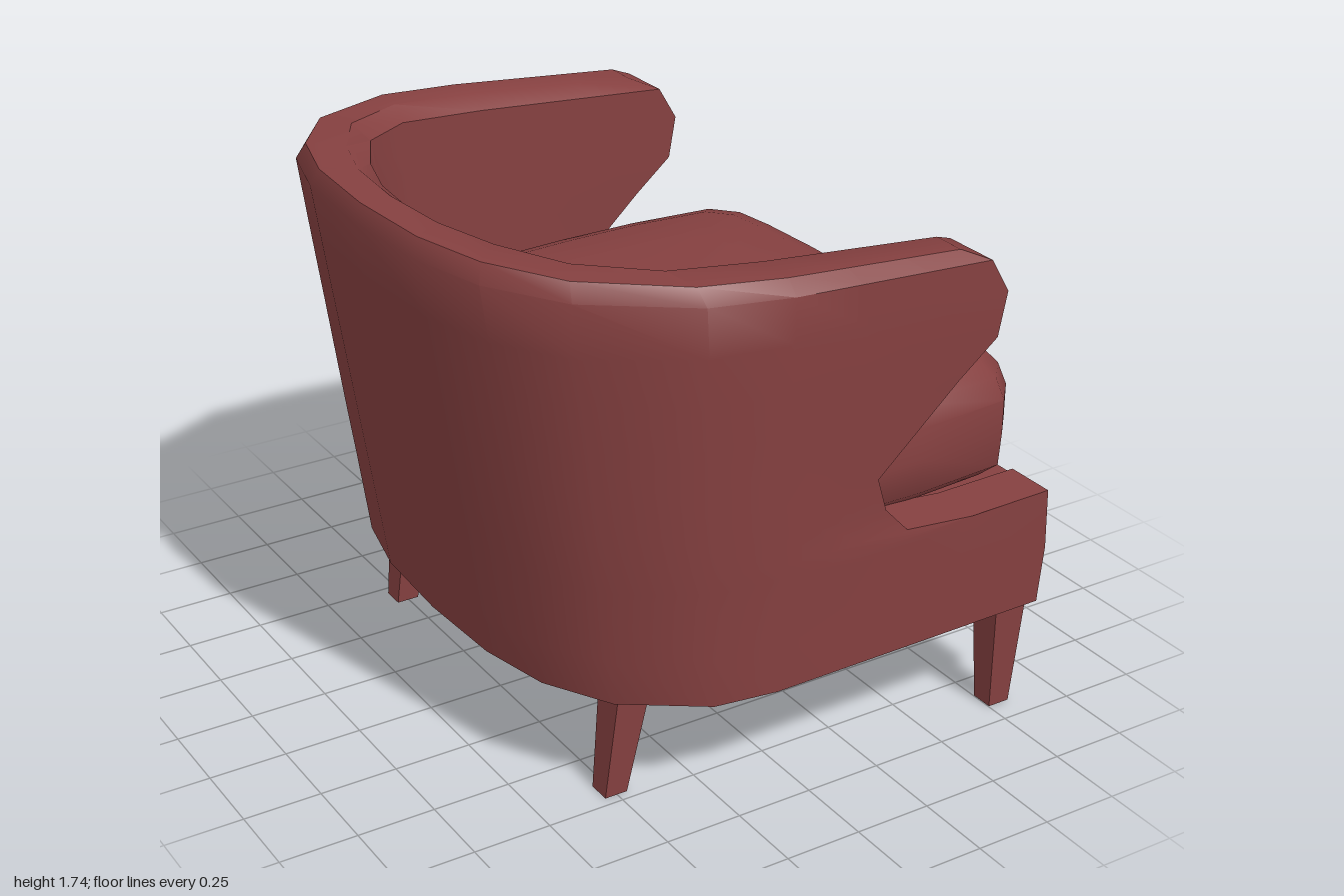
import * as THREE from 'three';
import { toCreasedNormals } from 'three/addons/utils/BufferGeometryUtils.js';

const lerp = THREE.MathUtils.lerp;

// Skins a list of rings (arrays of [x, y, z]); extra quads are index lists
function loft(rings, { wrapRings = false, wrapPoints = false, quads = [], crease = 0.7 } = {}) {
  const R = rings.length, N = rings[0].length, index = [];
  const quad = (a, b, c, d) => index.push(a, b, c, a, c, d);
  for (let i = 0; i < (wrapRings ? R : R - 1); i++) {
    for (let j = 0; j < (wrapPoints ? N : N - 1); j++) {
      const i2 = (i + 1) % R, j2 = (j + 1) % N;
      quad(i * N + j, i2 * N + j, i2 * N + j2, i * N + j2);
    }
  }
  quads.forEach(q => quad(...q));
  const g = new THREE.BufferGeometry();
  g.setAttribute('position', new THREE.Float32BufferAttribute(rings.flat(2), 3));
  g.setIndex(index);
  return toCreasedNormals(g.toNonIndexed(), crease);
}

// Mirrors a half outline of [x, z] points that ends on z = 0
const mirrorHalf = half => [...half, ...half.slice(0, -1).reverse().map(([x, z]) => [x, -z])];

// Wraparound back and arms, notched at the front of each arm
function shellGeometry() {
  // front x, front y, back y, inner back x
  const rows = [
    [0.885, 0.36, 0.36, -0.52], [0.90, 0.55, 0.5, -0.54], [0.89, 0.75, 0.65, -0.56],
    [0.60, 0.745, 0.74, -0.57], [0.35, 0.77, 0.81, -0.58], [0.265, 0.86, 0.9, -0.60],
    [0.23, 0.97, 1.0, -0.61], [0.50, 1.22, 1.2, -0.64], [0.63, 1.33, 1.35, -0.68],
    [0.655, 1.47, 1.5, -0.71], [0.59, 1.58, 1.68, -0.75], [0.50, 1.62, 1.735, -0.77],
  ];
  const outerBack = [[-0.1, 1], [-0.37, 0.97], [-0.69, 0.8], [-0.85, 0.58], [-0.92, 0.33], [-0.94, 0]];
  const innerBack = [[-0.1, 0.78], [-0.4, 0.75], [-0.58, 0.62], [-0.68, 0.42], [-0.74, 0.22], [-0.76, 0]];
  const path = (back, fx, bx, frontZ, zScale) => {
    const end = back[back.length - 1][0];
    const arm = [0, 1 / 3, 2 / 3].map(t => [lerp(fx, -0.1, t), lerp(frontZ, back[0][1], t) * zScale]);
    const bend = back.map(([x, z]) => [-0.1 + (x + 0.1) * (bx + 0.1) / (end + 0.1), z * zScale]);
    return mirrorHalf([...arm, ...bend]);
  };
  // w runs from the outer face (0) to the inner face (1)
  const ring = ([fx, fy, by, innerX], w) => {
    const outerX = -0.73 - (by - 0.36) * 0.153;
    const outer = path(outerBack, fx, outerX, 0.985, lerp(0.965, 1, Math.min(1, (by - 0.36) / 1.1)));
    const inner = path(innerBack, fx, innerX, 0.79, 1);
    const bx = lerp(outerX, innerX, w);
    return outer.map((o, j) => {
      const x = lerp(o[0], inner[j][0], w), z = lerp(o[1], inner[j][1], w);
      return [x, lerp(fy, by, (fx - x) / (fx - bx)), z];
    });
  };
  const last = rows.length - 1;
  const outer = rows.map((r, i) => ring(r, i === last ? 0.18 : 0));
  const inner = rows.map((r, i) => ring(r, i === last ? 0.75 : 1));
  const rings = [...outer, ...inner.reverse()];
  // Front faces of both arms
  const N = rings[0].length, quads = [];
  for (let i = 0; i < last; i++) {
    const o = i * N, o2 = o + N, n = (rings.length - 1 - i) * N, n2 = n - N, e = N - 1;
    quads.push([o, n, n2, o2], [o + e, o2 + e, n2 + e, n + e]);
  }
  return loft(rings, { wrapRings: true, quads });
}

// Crowned seat cushion: one outline scaled through its levels
function cushionGeometry() {
  const half = [[0.93, 0], [0.93, 0.3], [0.92, 0.56], [0.90, 0.72], [0.82, 0.81], [0.5, 0.835],
    [0.2, 0.83], [-0.35, 0.79], [-0.55, 0.6], [-0.62, 0.3], [-0.64, 0]];
  const outline = mirrorHalf(half).slice(0, -1);
  // y, inset
  const levels = [[0.745, 0.8], [0.745, 0.05], [0.79, 0.005], [0.9, 0], [1.01, 0], [1.08, 0.022],
    [1.125, 0.06], [1.155, 0.14], [1.175, 0.35], [1.185, 0.8]];
  const rings = levels.map(([y, inset]) =>
    outline.map(([x, z]) => [0.14 + (x - 0.14) * (1 - inset / 0.8), y, z * (1 - inset / 0.8)]));
  return loft(rings, { wrapPoints: true, crease: 0.8 });
}

// Seat frame filling the space between the arms
function baseGeometry() {
  const half = [[0.885, 0.795], [-0.1, 0.81], [-0.38, 0.77], [-0.53, 0.58], [-0.6, 0.3], [-0.62, 0]];
  const shape = new THREE.Shape(mirrorHalf(half).map(([x, z]) => new THREE.Vector2(x, z)));
  const g = new THREE.ExtrudeGeometry(shape, { depth: 0.385, bevelEnabled: false });
  return g.rotateX(-Math.PI / 2).translate(0, 0.352, 0);
}

// Square leg, tapered and leaning from its top x to its foot x
function legGeometry(topX, footX, z) {
  const g = new THREE.BoxGeometry(1, 1, 1), p = g.attributes.position;
  for (let i = 0; i < p.count; i++) {
    const t = p.getY(i) + 0.5, size = lerp(0.075, 0.115, t);
    p.setXYZ(i, lerp(footX, topX, t) + p.getX(i) * size, t * 0.38, z + p.getZ(i) * size);
  }
  g.computeVertexNormals();
  return g;
}

export function createModel() {
  const group = new THREE.Group();
  group.name = 'armchair';
  const upholstery = new THREE.MeshStandardMaterial({ color: 0x854040 });
  upholstery.name = 'dusty red';
  const add = (name, geometry) => {
    const mesh = new THREE.Mesh(geometry, upholstery);
    mesh.name = name;
    group.add(mesh);
  };

  add('backAndArms', shellGeometry());
  add('seatCushion', cushionGeometry());
  add('seatBase', baseGeometry());
  for (const [side, s] of [['left', 1], ['right', -1]]) {
    add(side + 'FrontLeg', legGeometry(0.795, 0.79, s * 0.88));
    add(side + 'BackLeg', legGeometry(-0.445, -0.503, s * 0.68));
  }
  return group;
}
